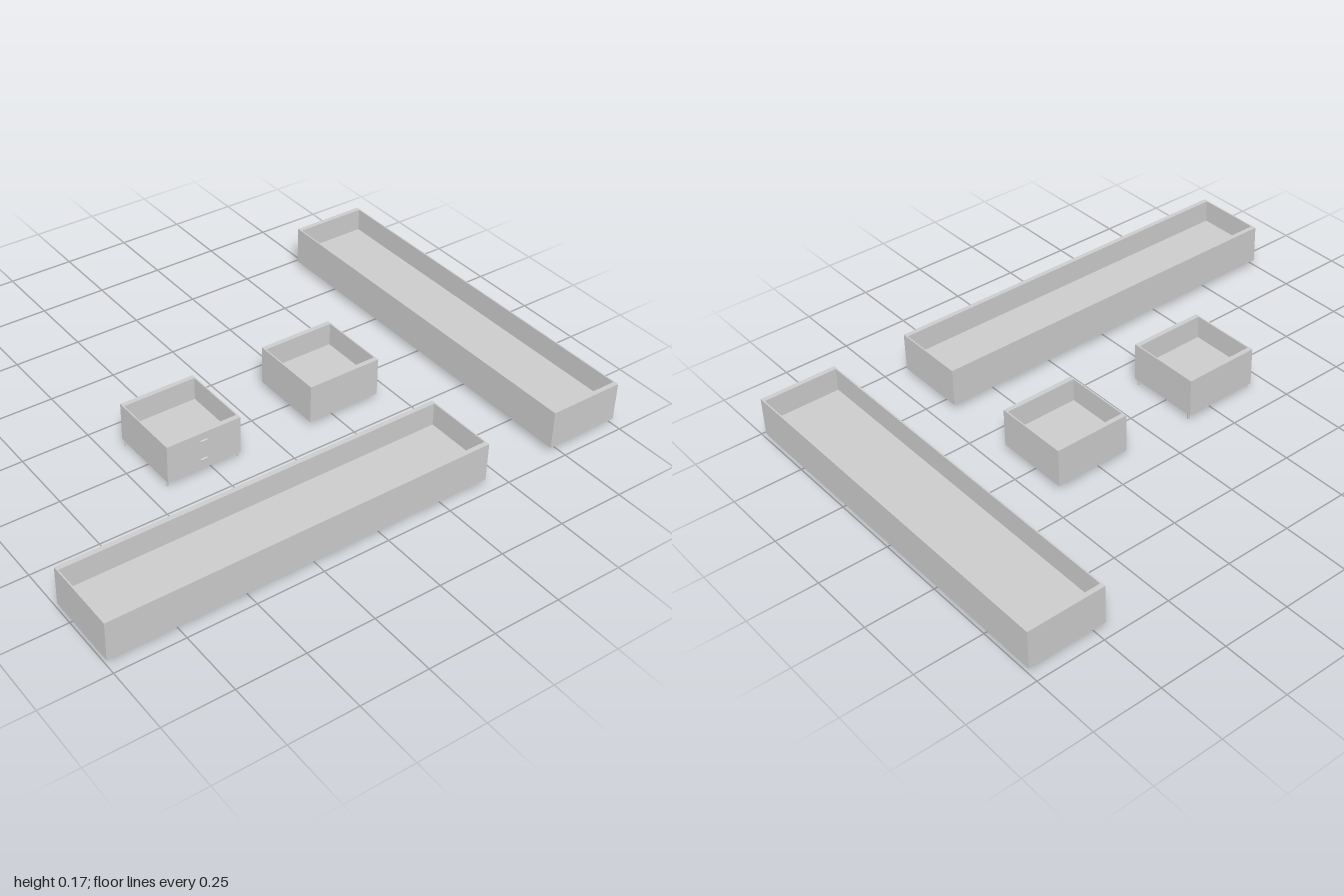
import * as THREE from 'three';

const material = new THREE.MeshStandardMaterial({ color: 0xcccccc, flatShading: true });
const UNIT = 2 / 7;       // width of one drawer module
const BOTTOM = 0.022, TOP = 0.167, FLOOR = 0.08;
const END = 0.018, SIDE = 0.005;

function add(parent, name, geometry, x, y, z) {
  const mesh = new THREE.Mesh(geometry, material);
  mesh.name = name;
  mesh.position.set(x, y, z);
  parent.add(mesh);
  return mesh;
}

// Open tray: solid base, thick front and back walls, thin side walls
function makeTray(name, x, z, width, depth) {
  const tray = new THREE.Group();
  tray.name = name;
  tray.position.set(x, 0, z);
  const wallHeight = TOP - FLOOR, wallY = (TOP + FLOOR) / 2;
  add(tray, 'base', new THREE.BoxGeometry(width, FLOOR - BOTTOM, depth), 0, (FLOOR + BOTTOM) / 2, 0);
  for (const s of [-1, 1]) {
    add(tray, s > 0 ? 'frontWall' : 'backWall',
      new THREE.BoxGeometry(width, wallHeight, END), 0, wallY, s * (depth - END) / 2);
    add(tray, s > 0 ? 'leftWall' : 'rightWall',
      new THREE.BoxGeometry(SIDE, wallHeight, depth - 2 * END), s * (width - SIDE) / 2, wallY, 0);
  }
  // Row of tiny studs along the front face
  const count = Math.round(width / UNIT) * 5;
  const stud = new THREE.CylinderGeometry(0.002, 0.002, 0.002, 8).rotateX(Math.PI / 2);
  for (let i = 0; i < count; i++) {
    add(tray, 'stud', stud, ((i + 0.5) / count - 0.5) * width, (TOP + BOTTOM) / 2, depth / 2);
  }
  return tray;
}

export function createModel() {
  const model = new THREE.Group();
  model.name = 'trays';

  const footed = makeTray('footedTray', -UNIT, 0, UNIT, UNIT);
  model.add(
    footed,
    makeTray('smallTray', UNIT, 0, UNIT, UNIT),
    makeTray('frontLongTray', -UNIT, 2 * UNIT, 5 * UNIT, UNIT),
    makeTray('sideLongTray', 3 * UNIT, 0, UNIT, 5 * UNIT),
  );

  // Four slim feet under the corners
  const foot = new THREE.CylinderGeometry(0.004, 0.004, BOTTOM, 10);
  for (const sx of [-1, 1]) {
    for (const sz of [-1, 1]) add(footed, 'foot', foot, sx * 0.138, BOTTOM / 2, sz * 0.129);
  }

  // Two small oval pulls on the front
  const pull = new THREE.SphereGeometry(1, 16, 10).scale(0.016, 0.004, 0.005);
  for (const y of [0.06, 0.135]) add(footed, 'pull', pull, 0, y, UNIT / 2);

  return model;
}
